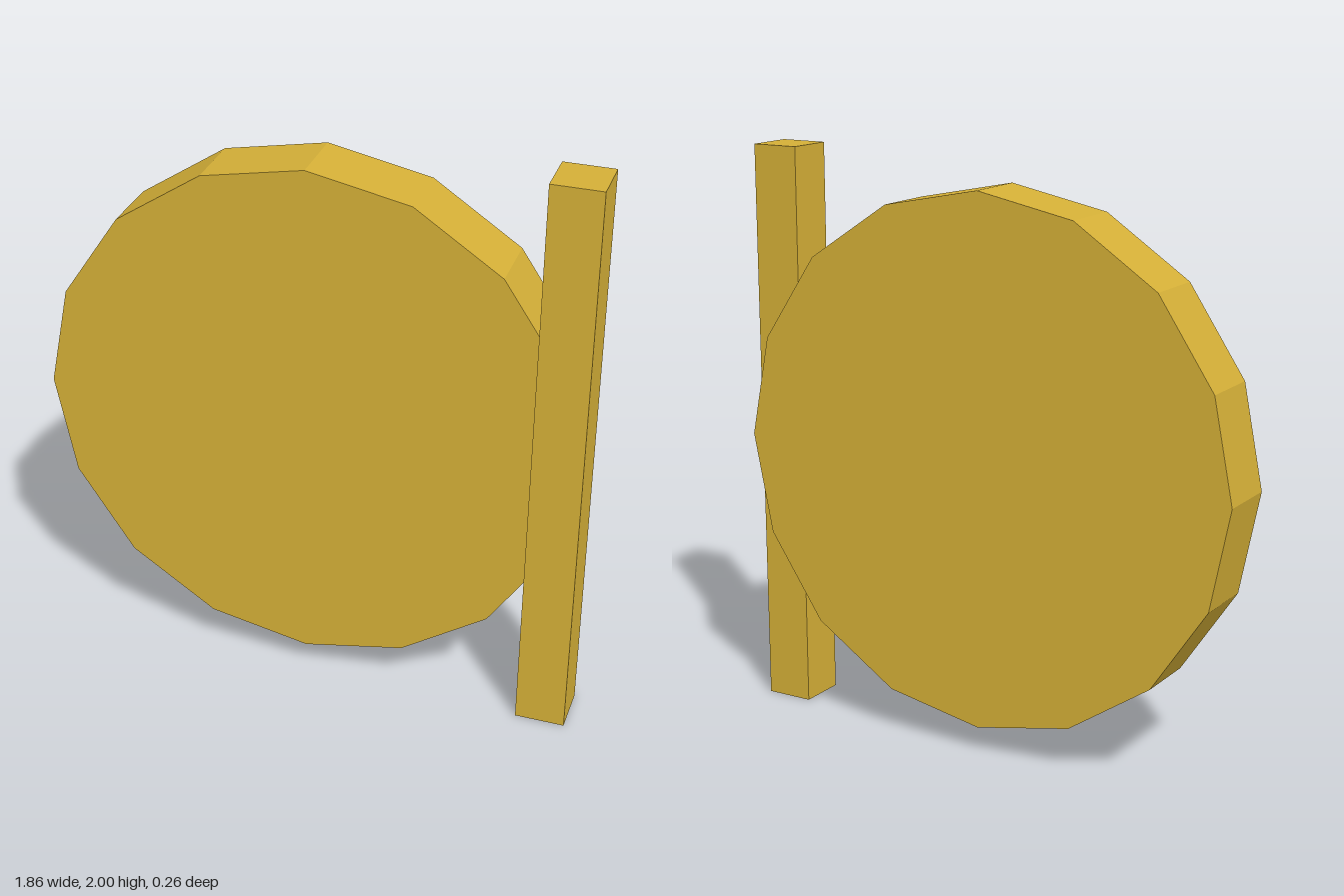
import * as THREE from 'three';

export function createModel() {
  const model = new THREE.Group();
  const gold = new THREE.MeshStandardMaterial({ color: 0xd4af37, flatShading: true });

  const add = (name, geometry, x, y, z) => {
    const mesh = new THREE.Mesh(geometry, gold);
    mesh.name = name;
    mesh.position.set(x, y, z);
    model.add(mesh);
  };

  // Sixteen-sided disc facing the front
  const radius = 0.913;
  const disc = new THREE.CylinderGeometry(radius, radius, 0.225, 16).rotateX(Math.PI / 2);
  add('disc', disc, -0.015, 1.002, -0.0175);

  // Upright square bar overlapping the disc's left edge
  add('uprightBar', new THREE.BoxGeometry(0.17, 2, 0.17), 0.842, 1, 0.045);

  return model;
}
